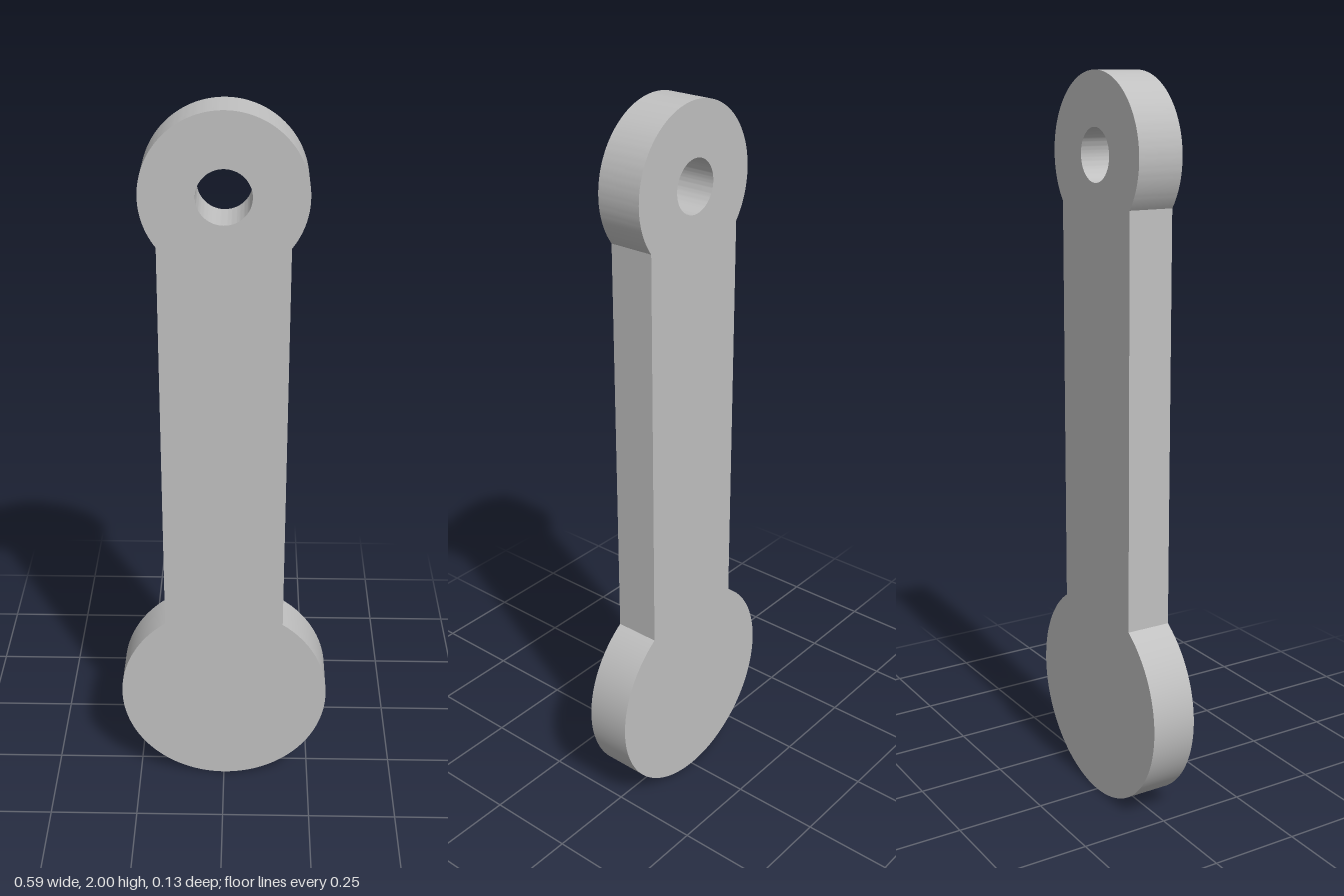
import * as THREE from 'three';
import { toCreasedNormals } from 'three/addons/utils/BufferGeometryUtils.js';

const THICKNESS = 0.127;
const BAR_HALF_WIDTH = 0.167;
const LARGE_RADIUS = 0.297;
const SMALL_RADIUS = 0.21;
const HOLE_RADIUS = 0.07;
const SMALL_CENTRE_Y = 2 - SMALL_RADIUS;

export function createModel() {
  const group = new THREE.Group();
  group.name = 'linkArm';

  const greyMetal = new THREE.MeshStandardMaterial({ color: 0xc0c0c0 });
  greyMetal.name = 'grey metal';

  // Angles at which the straight bar meets each round end
  const largeAngle = Math.acos(BAR_HALF_WIDTH / LARGE_RADIUS);
  const smallAngle = Math.acos(BAR_HALF_WIDTH / SMALL_RADIUS);

  // Outline: large round end, right edge of the bar, small round end, left edge
  const outline = new THREE.Shape();
  outline.absarc(0, LARGE_RADIUS, LARGE_RADIUS, Math.PI - largeAngle, 2 * Math.PI + largeAngle, false);
  outline.absarc(0, SMALL_CENTRE_Y, SMALL_RADIUS, -smallAngle, Math.PI + smallAngle, false);
  outline.closePath();

  // Pin hole through the small end
  const hole = new THREE.Path();
  hole.absarc(0, SMALL_CENTRE_Y, HOLE_RADIUS, 0, 2 * Math.PI, true);
  outline.holes.push(hole);

  // One plate, with smooth rims and sharp edges
  const plate = new THREE.ExtrudeGeometry(outline, {
    depth: THICKNESS,
    bevelEnabled: false,
    curveSegments: 64,
  });
  plate.translate(0, 0, -THICKNESS / 2);

  const arm = new THREE.Mesh(toCreasedNormals(plate, 0.5), greyMetal);
  arm.name = 'armPlate';
  group.add(arm);

  return group;
}
